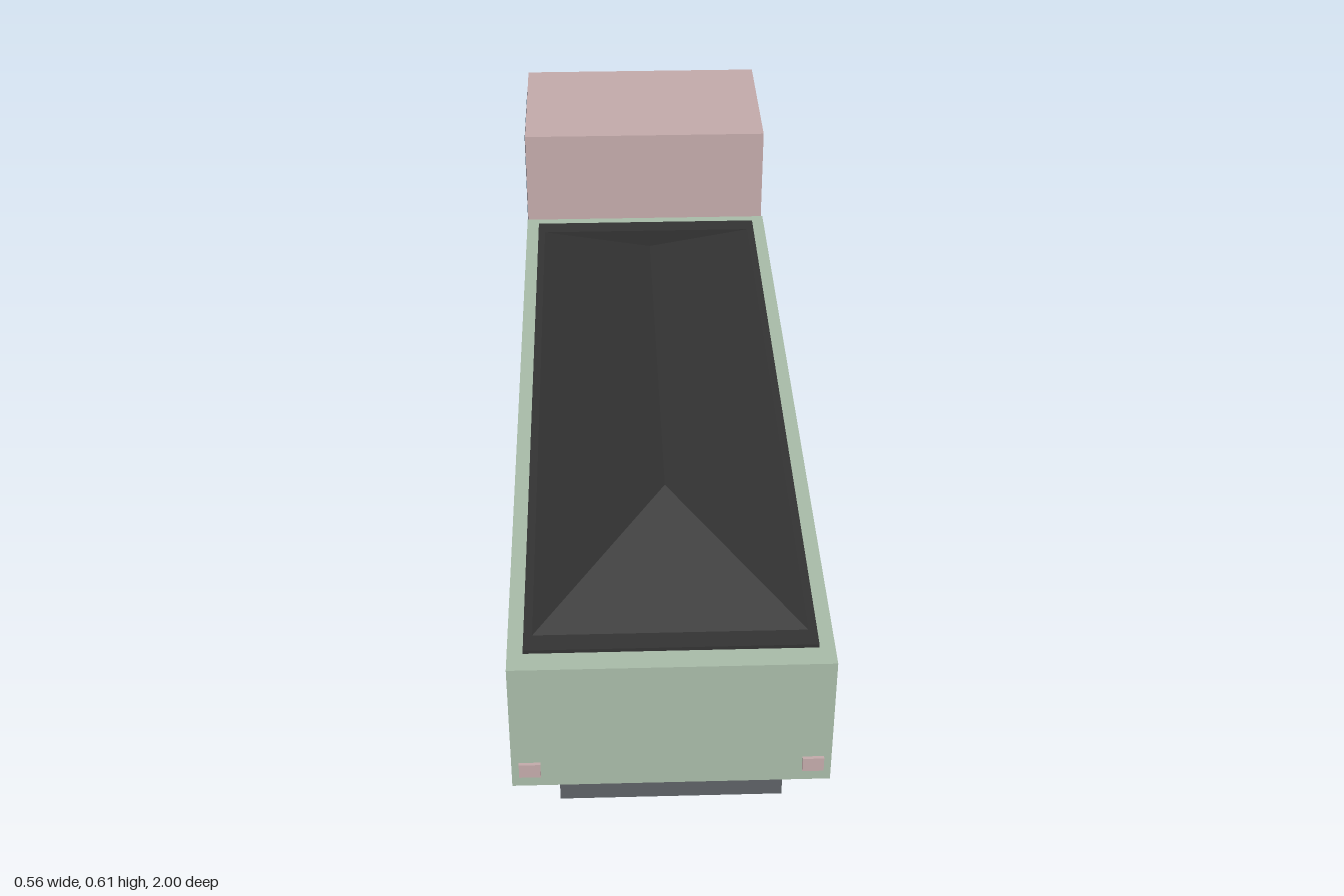
import * as THREE from 'three';

const mat = (name, color) => {
  const m = new THREE.MeshStandardMaterial({ color });
  m.name = name;
  return m;
};

export function createModel() {
  const pink = mat('dusty pink', 0xc3aaaa);
  const green = mat('sage green', 0xa8bba8);
  const glass = mat('dark glass', 0x43505e);
  const grey = mat('chassis grey', 0x5d6165);
  const black = mat('charcoal', 0x333333);
  const hubGrey = mat('hub grey', 0xc2c2c2);

  const truck = new THREE.Group();
  truck.name = 'truck';

  const add = (name, geometry, material) => {
    const mesh = new THREE.Mesh(geometry, material);
    mesh.name = name;
    truck.add(mesh);
    return mesh;
  };
  // Box given by its limits on each axis
  const box = (name, material, x0, x1, y0, y1, z0, z1) => {
    const g = new THREE.BoxGeometry(x1 - x0, y1 - y0, z1 - z0);
    g.translate((x0 + x1) / 2, (y0 + y1) / 2, (z0 + z1) / 2);
    return add(name, g, material);
  };

  // Chassis and cargo bed
  box('chassis', grey, -0.193, 0.193, 0.107, 0.16, -0.965, 0.985);
  box('cargoBed', green, -0.275, 0.275, 0.15, 0.415, -0.56, 0.994);

  // Heaped load: flat base with a hipped ridge on top
  box('loadBase', black, -0.248, 0.248, 0.38, 0.422, -0.527, 0.953);
  const heap = new THREE.BoxGeometry(1, 1, 1);
  const p = heap.attributes.position;
  for (let i = 0; i < p.count; i++) {
    const top = p.getY(i) > 0;
    const back = p.getZ(i) > 0;
    const z = top ? (back ? 0.65 : -0.212) : (back ? 0.92 : -0.49);
    p.setXYZ(i, top ? 0 : Math.sign(p.getX(i)) * 0.237, top ? 0.535 : 0.42, z);
  }
  const heapFlat = heap.toNonIndexed();
  heapFlat.computeVertexNormals();
  add('loadHeap', heapFlat, black);

  // Cab: side profile with a sloped upper edge, extruded across the width
  const profile = new THREE.Shape([
    [0.597, 0.146], [0.986, 0.146], [0.986, 0.52], [0.957, 0.61], [0.597, 0.61],
  ].map(([u, y]) => new THREE.Vector2(u, y)));
  const cab = new THREE.ExtrudeGeometry(profile, { depth: 0.55, bevelEnabled: false });
  cab.rotateY(Math.PI / 2).translate(-0.275, 0, 0);
  add('cab', cab, pink);

  // Windscreen and grille
  box('windscreen', glass, -0.24, 0.24, 0.353, 0.528, -0.992, -0.984);
  box('grille', grey, -0.168, 0.168, 0.168, 0.262, -0.994, -0.985);

  // Fourteen-sided tyres standing on a flat
  const tyre = new THREE.CylinderGeometry(0.13, 0.13, 0.057, 14);
  tyre.rotateY(Math.PI / 14).rotateZ(Math.PI / 2);
  const tyreFlat = tyre.toNonIndexed();
  tyreFlat.computeVertexNormals();
  const hub = new THREE.CylinderGeometry(0.063, 0.063, 0.03, 14);
  hub.rotateY(Math.PI / 14).rotateZ(Math.PI / 2);
  const hubFlat = hub.toNonIndexed();
  hubFlat.computeVertexNormals();

  for (const s of [1, -1]) {
    const side = s > 0 ? 'left' : 'right';
    // Mirrored box on this side
    const sideBox = (name, material, x0, x1, ...rest) =>
      box(side + name, material, Math.min(s * x0, s * x1), Math.max(s * x0, s * x1), ...rest);
    sideBox('Window', glass, 0.27, 0.2785, 0.355, 0.578, -0.912, -0.66);
    sideBox('Headlight', green, 0.226, 0.262, 0.172, 0.212, -0.998, -0.985);
    sideBox('TailLight', pink, 0.225, 0.262, 0.175, 0.204, 0.99, 1);

    ['Front', 'Middle', 'Rear'].forEach((axle, i) => {
      const z = [-0.67, 0.463, 0.68][i];
      add(side + axle + 'Tyre', tyreFlat, black).position.set(s * 0.2455, 0.127, z);
      add(side + axle + 'Hub', hubFlat, hubGrey).position.set(s * 0.2635, 0.127, z);
    });
  }
  return truck;
}
